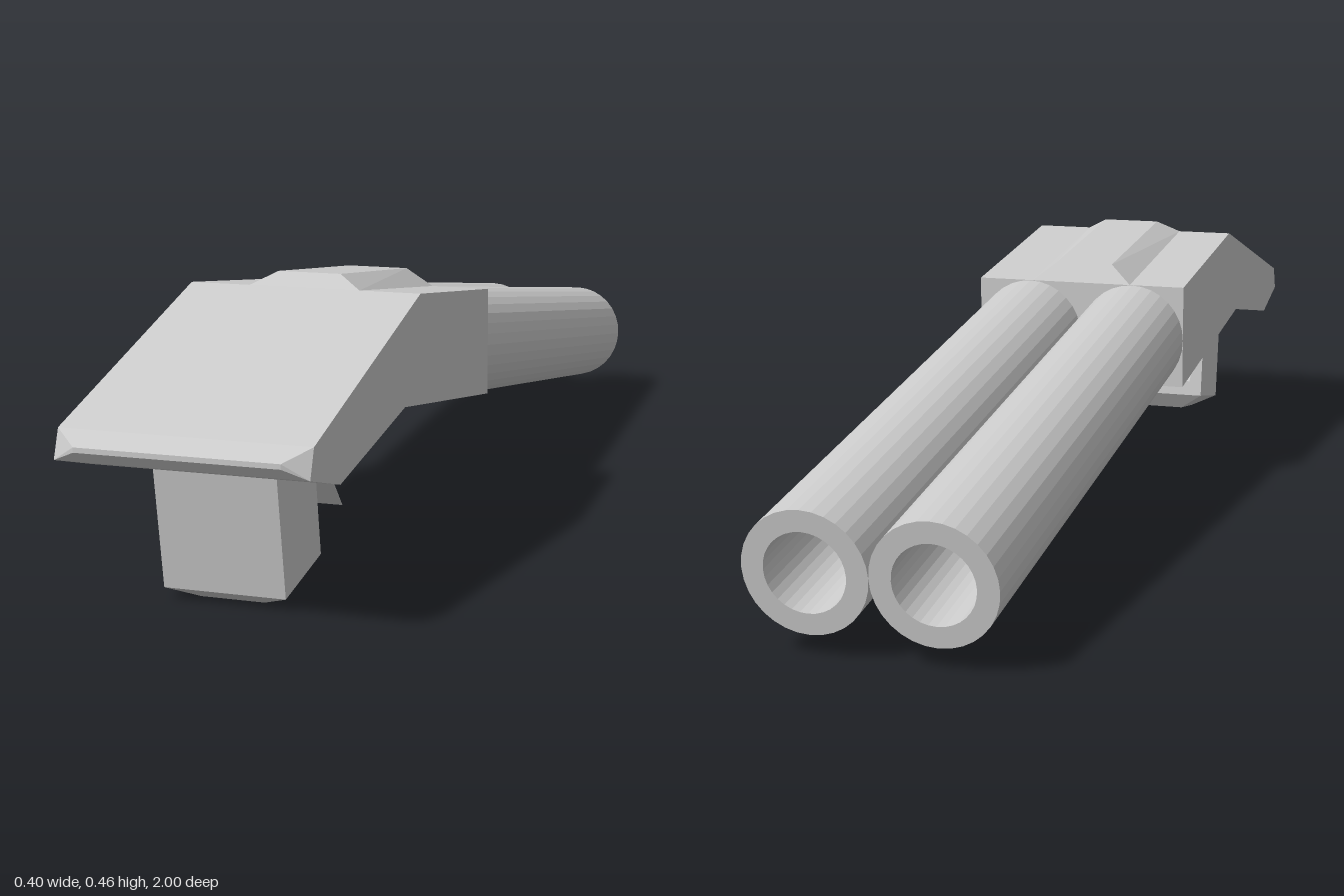
import * as THREE from 'three';
import { ConvexGeometry } from 'three/addons/geometries/ConvexGeometry.js';

export function createModel() {
  const model = new THREE.Group();
  const material = new THREE.MeshStandardMaterial({ color: 0xcccccc, flatShading: true });

  const add = (name, geometry) => {
    const mesh = new THREE.Mesh(geometry, material);
    mesh.name = name;
    model.add(mesh);
    return mesh;
  };

  // Side profile of [z, y] points, extruded to a width centred on x = 0
  const slab = (name, profile, width) => {
    const shape = new THREE.Shape(profile.map(([z, y]) => new THREE.Vector2(z, y)));
    const geometry = new THREE.ExtrudeGeometry(shape, { depth: width, bevelEnabled: false });
    geometry.translate(0, 0, -width / 2).rotateY(-Math.PI / 2);
    return add(name, geometry);
  };

  // Convex block from [halfWidth, y, z] points mirrored across x
  const block = (name, points) => add(name, new ConvexGeometry(points.flatMap(
    ([x, y, z]) => [new THREE.Vector3(x, y, z), new THREE.Vector3(-x, y, z)])));

  // Bent receiver and stock
  slab('body', [
    [0.97, 0.297], [0.487, 0.445], [0.095, 0.396],
    [0.095, 0.204], [0.565, 0.273], [0.864, 0.217], [0.986, 0.251],
  ], 0.404);

  // Chamfered butt at the front end
  block('butt', [
    [0.202, 0.297, 0.97], [0.202, 0.251, 0.986],
    [0.163, 0.276, 1.0], [0.163, 0.268, 1.0],
  ]);

  // Raised rib on top
  block('topRib', [
    [0.097, 0.445, 0.487], [0.097, 0.396, 0.095],
    [0.055, 0.467, 0.462], [0.055, 0.43, 0.118],
  ]);

  // Grip with a chamfered foot
  block('grip', [
    [0.101, 0.235, 0.866], [0.101, 0.255, 0.713],
    [0.101, 0.022, 0.832], [0.101, 0.053, 0.682],
    [0.053, 0.003, 0.8], [0.053, 0.019, 0.703],
  ]);

  // Thin trigger blade with its wedge-shaped root
  slab('trigger', [
    [0.712, 0.25], [0.58, 0.107], [0.67, 0.213], [0.59, 0.267],
  ], 0.2);

  // Twin hollow barrels, sloping down to the back
  const length = 1.117, outer = 0.101, inner = 0.066;
  const wall = [[inner, 0], [outer, 0], [outer, length], [inner, length], [inner, 0]]
    .map(([r, y]) => new THREE.Vector2(r, y));
  for (const side of [1, -1]) {
    const barrel = add(side > 0 ? 'leftBarrel' : 'rightBarrel', new THREE.LatheGeometry(wall, 32));
    barrel.position.set(side * 0.101, 0.297, 0.12);
    barrel.rotation.x = -(Math.PI / 2 + 0.145);
  }

  return model;
}
